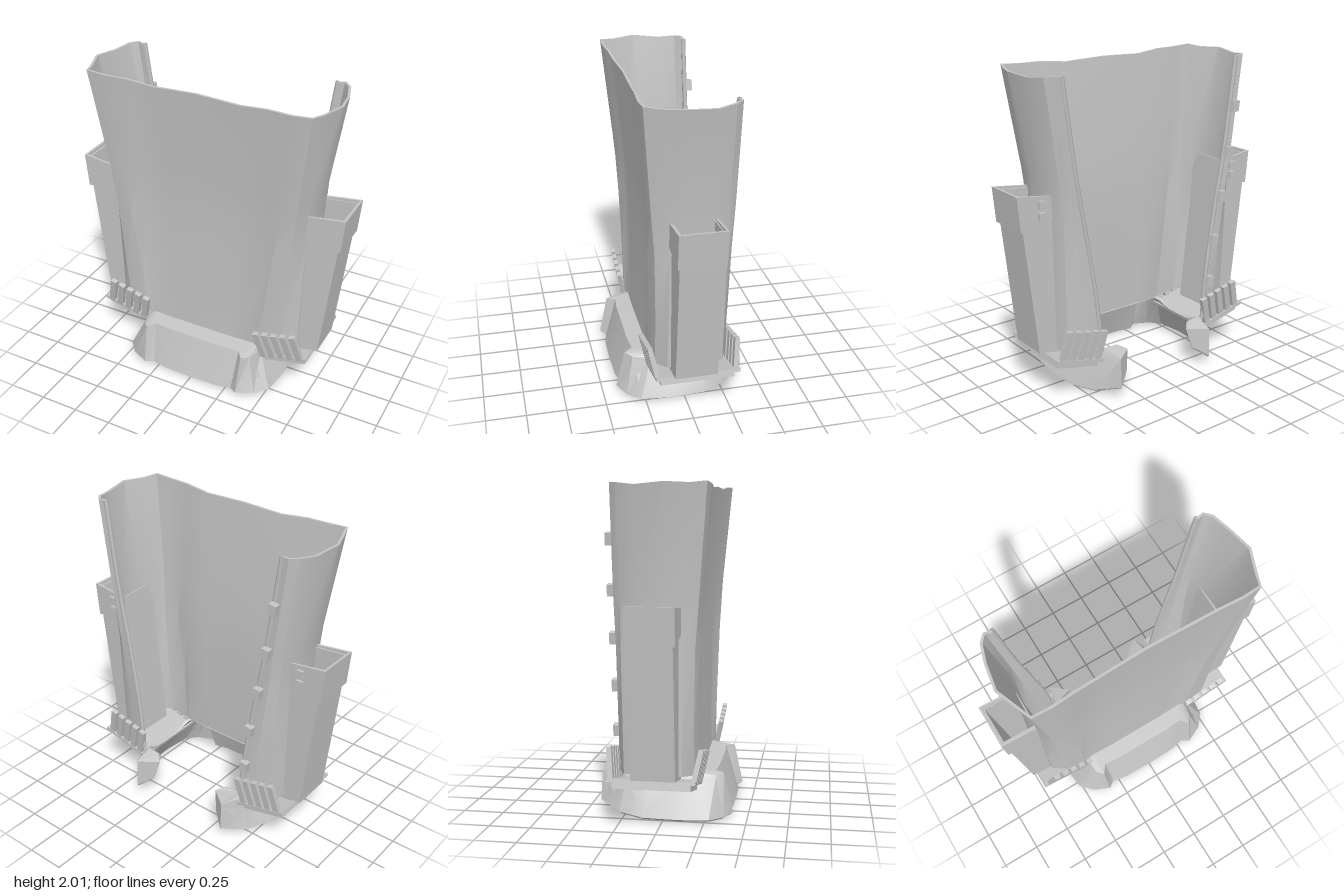
import * as THREE from 'three';
import { toCreasedNormals } from 'three/addons/utils/BufferGeometryUtils.js';

const grey = new THREE.MeshStandardMaterial({ color: 0xc4c4c4, side: THREE.DoubleSide });
grey.name = 'plain grey';

const mesh = (name, geometry) => {
  const m = new THREE.Mesh(geometry, grey);
  m.name = name;
  return m;
};

const box = (name, w, h, d, x, y, z) => {
  const m = mesh(name, new THREE.BoxGeometry(w, h, d));
  m.position.set(x, y, z);
  return m;
};

// Mirrors a half path (front centre to back edge) into a full one
const fullPath = half => [...half.slice(1).reverse().map(([x, y, z]) => [-x, y, z]), ...half];

// Thick wall lofted through rows of half paths, listed bottom to top
function wall(halfRows, thickness, drop = 0) {
  const outer = halfRows.map(fullPath);
  const inner = outer.map(row => row.map(([x, y, z], i) => {
    const a = row[Math.max(i - 1, 0)], b = row[Math.min(i + 1, row.length - 1)];
    const tx = b[0] - a[0], tz = b[2] - a[2], l = Math.hypot(tx, tz) || 1;
    return [x + tz / l * thickness, y - drop, z - tx / l * thickness];
  }));
  const rows = [...outer, ...inner.reverse()];
  const n = rows[0].length, count = rows.length, index = [];
  for (let k = 0; k < count; k++) {
    const a = k * n, b = ((k + 1) % count) * n;
    for (let i = 0; i < n - 1; i++) index.push(a + i, a + i + 1, b + i + 1, a + i, b + i + 1, b + i);
  }
  // Close both back edges
  for (let k = 0; k < outer.length - 1; k++) {
    const o = k * n, p = o + n, q = (count - 1 - k) * n, r = q - n, e = n - 1;
    index.push(q, o, p, q, p, r, o + e, q + e, r + e, o + e, r + e, p + e);
  }
  const g = new THREE.BufferGeometry();
  g.setAttribute('position', new THREE.Float32BufferAttribute(rows.flat(2), 3));
  g.setIndex(index);
  return toCreasedNormals(g, 0.45);
}

// Open tapered case that leans outward; corners given in x, y
function caseWall(inBottom, outBottom, outTop, inTop, zFront, zBack, t, floor) {
  const ring = ([xi, yi], [xo, yo], s) => [
    [xi + s, yi, zBack + s], [xi + s, yi, zFront - s], [xo - s, yo, zFront - s], [xo - s, yo, zBack + s]];
  const rows = [ring(inBottom, outBottom, 0), ring(inTop, outTop, 0), ring(inTop, outTop, t), ring(inBottom, outBottom, t)];
  const index = [];
  for (let k = 0; k < 4; k++) for (let i = 0; i < 4; i++) {
    const a = k * 4 + i, b = k * 4 + (i + 1) % 4, c = ((k + 1) % 4) * 4 + (i + 1) % 4, d = ((k + 1) % 4) * 4 + i;
    index.push(a, b, c, a, c, d);
  }
  if (floor) index.push(0, 2, 1, 0, 3, 2);
  const g = new THREE.BufferGeometry();
  g.setAttribute('position', new THREE.Float32BufferAttribute(rows.flat(2), 3));
  g.setIndex(index);
  return toCreasedNormals(g, 0.3);
}

// Side case with its collar and clasps, standing on a tilted ribbed tray
function sideUnit() {
  const g = new THREE.Group();
  g.add(mesh('sideCase', caseWall([0.55, 0.27], [0.775, 0.31], [0.885, 1.3], [0.66, 1.28], 0.12, -0.14, 0.012, true)));
  g.add(mesh('caseCollar', caseWall([0.645, 1.14], [0.88, 1.1], [0.9, 1.32], [0.66, 1.29], 0.135, -0.15, 0.015, false)));
  for (const y of [1.18, 1.25]) g.add(box('caseClasp', 0.045, 0.045, 0.02, 0.74, y, -0.158));

  const tray = new THREE.Group();
  tray.name = 'tray';
  tray.position.set(0.575, 0.24, 0);
  tray.rotation.z = 0.24;
  tray.add(box('trayPlate', 0.36, 0.02, 0.52, 0, 0.015, -0.03));
  tray.add(box('trayBase', 0.3, 0.035, 0.46, 0, -0.015, -0.03));
  for (const [z, lean] of [[0.235, 0.2], [-0.28, -0.1]]) {
    for (let i = 0; i < 5; i++) {
      const bar = box('trayBar', 0.042, 0.2, 0.03, -0.125 + i * 0.064, 0.11, z);
      bar.rotation.x = lean;
      tray.add(bar);
    }
  }
  g.add(tray);
  return g;
}

export function createModel() {
  const model = new THREE.Group();
  model.name = 'openShell';

  // Shell levels: x, z from front centre to back edge
  const level = (y, pts, rise) => pts.map(([x, z], i) => [x, y + rise(x, i), z]);
  const flat = () => 0;
  const shellRows = [
    level(0.27, [[0, 0.205], [0.2, 0.205], [0.36, 0.2], [0.42, 0.215], [0.55, 0.2], [0.64, 0.14], [0.67, 0.02],
      [0.66, -0.12], [0.62, -0.21], [0.5, -0.255], [0.41, -0.27]], x => Math.max(0, x - 0.4) * 0.15),
    level(0.6, [[0, 0.2], [0.22, 0.2], [0.37, 0.195], [0.44, 0.22], [0.58, 0.2], [0.65, 0.135], [0.675, 0.02],
      [0.665, -0.12], [0.625, -0.215], [0.53, -0.26], [0.44, -0.265]], flat),
    level(1.05, [[0, 0.2], [0.25, 0.205], [0.4, 0.2], [0.5, 0.23], [0.61, 0.21], [0.66, 0.13], [0.675, 0.02],
      [0.67, -0.12], [0.635, -0.22], [0.58, -0.26], [0.51, -0.26]], flat),
    level(1.36, [[0, 0.21], [0.27, 0.215], [0.43, 0.22], [0.53, 0.245], [0.635, 0.235], [0.67, 0.14], [0.69, 0.03],
      [0.685, -0.11], [0.655, -0.22], [0.62, -0.265], [0.565, -0.26]], flat),
    level(1.98, [[0, 0.27], [0.28, 0.275], [0.45, 0.285], [0.6, 0.295], [0.72, 0.29], [0.755, 0.2], [0.808, 0.06],
      [0.78, -0.11], [0.745, -0.22], [0.7, -0.265], [0.65, -0.255]], (x, i) => [0.005, -0.005, 0.012, 0.012, 0.02, 0.01, 0.015, 0, 0.012, 0.015, 0.01][i]),
  ];
  model.add(mesh('shell', wall(shellRows, 0.016)));

  // Flared skirt with a narrow ledge joining it to the shell
  const skirtRows = [
    [[0, 0, 0.4], [0.2, 0, 0.395], [0.29, 0, 0.375], [0.34, 0.01, 0.41], [0.45, 0.01, 0.36], [0.52, 0.01, 0.28],
      [0.54, 0.01, 0.1], [0.53, 0.01, -0.12], [0.47, 0.02, -0.27], [0.36, 0.06, -0.41], [0.27, 0.12, -0.34]],
    [[0, 0.265, 0.31], [0.2, 0.265, 0.31], [0.31, 0.265, 0.3], [0.35, 0.26, 0.355], [0.39, 0.25, 0.31], [0.42, 0.24, 0.2],
      [0.43, 0.21, 0.08], [0.43, 0.21, -0.1], [0.42, 0.24, -0.24], [0.36, 0.25, -0.4], [0.24, 0.25, -0.31]],
    [[0, 0.28, 0.2], [0.2, 0.28, 0.2], [0.34, 0.28, 0.2], [0.37, 0.28, 0.2], [0.4, 0.27, 0.19], [0.41, 0.26, 0.15],
      [0.41, 0.23, 0.05], [0.41, 0.23, -0.1], [0.41, 0.25, -0.2], [0.38, 0.28, -0.26], [0.29, 0.28, -0.27]],
  ];
  model.add(mesh('skirt', wall(skirtRows, 0.015, 0.012)));

  // Rolled trim down both back edges
  for (const s of [1, -1]) {
    const path = new THREE.CatmullRomCurve3(shellRows.map(row => {
      const [x, y, z] = row[row.length - 1];
      return new THREE.Vector3(s * x, y, z);
    }));
    model.add(mesh('edgeTrim', new THREE.TubeGeometry(path, 16, 0.014, 6)));
  }

  // Studs along one back edge
  for (const [x, y] of [[0.625, 1.68], [0.585, 1.385], [0.535, 1.1], [0.48, 0.81], [0.45, 0.53]]) {
    const stud = box('edgeStud', 0.05, 0.07, 0.04, -x, y, -0.285);
    stud.rotation.z = 0.15;
    model.add(stud);
  }

  // Side units, mirrored
  for (const s of [1, -1]) {
    const unit = sideUnit();
    unit.name = s > 0 ? 'leftSideUnit' : 'rightSideUnit';
    unit.scale.x = s;
    model.add(unit);
  }
  return model;
}
